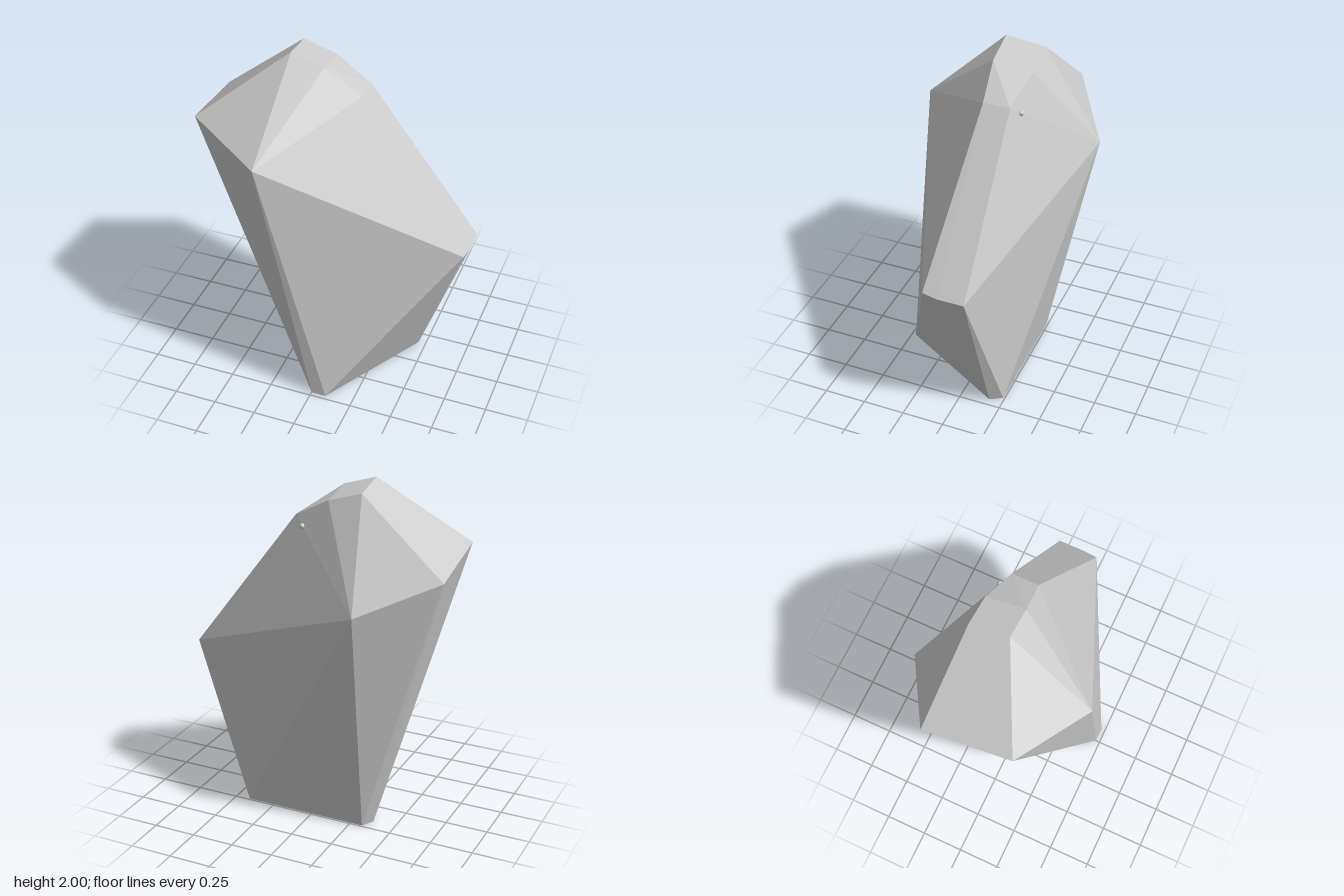
import * as THREE from 'three';
import { ConvexGeometry } from 'three/addons/geometries/ConvexGeometry.js';

export function createModel() {
  const group = new THREE.Group();
  const stone = new THREE.MeshStandardMaterial({ color: 0xcccccc, flatShading: true });

  // Corner points of the faceted boulder, from the crest down to the foot
  const crest = [
    [-0.27, 2.0, 0.025], [-0.285, 1.965, -0.2],
    [-0.08, 1.94, 0.025], [-0.09, 1.905, -0.2],
    [0.125, 1.79, 0.0], [0.125, 1.79, -0.155],
  ];
  const shoulders = [
    [-0.75, 1.63, 0.26], [-0.78, 1.555, -0.255],
    [-0.305, 1.53, 0.51], [-0.37, 1.38, -0.51],
    [0.765, 0.945, 0.09], [0.775, 0.935, 0.0], [0.775, 0.935, -0.155],
  ];
  // The foot is a blunted triangle, mirrored about x = 0.045
  const foot = [];
  for (const side of [-1, 1]) {
    for (const [x, z] of [[0.0425, 0.475], [0.41, -0.17], [0.368, -0.24]]) {
      foot.push([0.045 + side * x, 0, z]);
    }
  }

  const points = [...crest, ...shoulders, ...foot].map((p) => new THREE.Vector3(...p));
  const boulder = new THREE.Mesh(new ConvexGeometry(points), stone);
  boulder.name = 'boulder';
  group.add(boulder);

  // Tiny pebble half sunk in the back face
  const pebble = new THREE.Mesh(new THREE.IcosahedronGeometry(0.016, 1), stone);
  pebble.name = 'pebble';
  pebble.position.set(0.067, 1.74, -0.197);
  group.add(pebble);

  return group;
}
